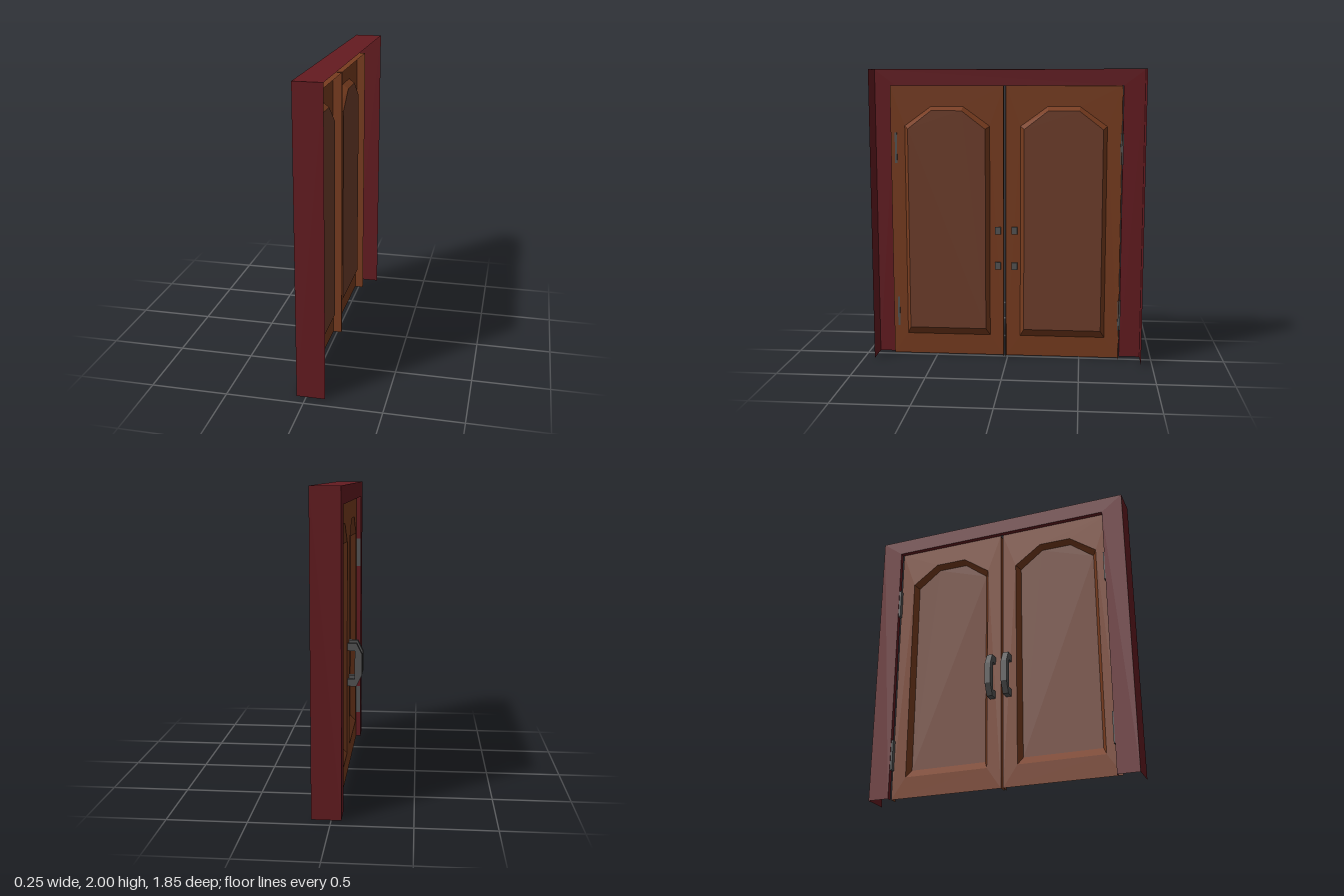
import * as THREE from 'three';

const paint = (color) => new THREE.MeshStandardMaterial({ color, side: THREE.DoubleSide, flatShading: true });
const FRAME = paint(0x641b20), WOOD = paint(0x783c1f), PANEL = paint(0x6f3e2b), METAL = paint(0x555555);

const shapeOf = (pts) => new THREE.Shape(pts.map(([a, b]) => new THREE.Vector2(a, b)));

function add(parent, name, geometry, material) {
  const mesh = new THREE.Mesh(geometry, material);
  mesh.name = name;
  parent.add(mesh);
  return mesh;
}

// Flat sheet drawn in (z, y) and stood at a given x, facing -x
function sheet(shape, x) {
  return new THREE.ShapeGeometry(shape).rotateY(-Math.PI / 2).translate(x, 0, 0);
}

// Box given by its two extreme corners
function box(x0, x1, y0, y1, z0, z1) {
  return new THREE.BoxGeometry(x1 - x0, y1 - y0, z1 - z0)
    .translate((x0 + x1) / 2, (y0 + y1) / 2, (z0 + z1) / 2);
}

// Thin wall facing along z, or along y when level
function wallZ(x0, x1, y0, y1, z) {
  return new THREE.PlaneGeometry(x1 - x0, y1 - y0).translate((x0 + x1) / 2, (y0 + y1) / 2, z);
}
function wallY(x0, x1, z0, z1, y) {
  return new THREE.PlaneGeometry(x1 - x0, z1 - z0).rotateX(-Math.PI / 2)
    .translate((x0 + x1) / 2, y, (z0 + z1) / 2);
}

// Sloping band between two (z, y) outlines at different depths
function bevel(outer, inner, xo, xi) {
  const pos = [];
  outer.forEach((p, i) => {
    const j = (i + 1) % outer.length;
    const a = [xo, p[1], p[0]], b = [xo, outer[j][1], outer[j][0]];
    const c = [xi, inner[j][1], inner[j][0]], d = [xi, inner[i][1], inner[i][0]];
    pos.push(...a, ...b, ...c, ...a, ...c, ...d);
  });
  const g = new THREE.BufferGeometry();
  g.setAttribute('position', new THREE.Float32BufferAttribute(pos, 3));
  g.computeVertexNormals();
  return g;
}

// Arched panel outline with clipped shoulders
const arch = (w, t, bottom, shoulder, top) =>
  [[-w, bottom], [w, bottom], [w, shoulder], [t, top], [-t, top], [-w, shoulder]];

const FACE = -0.028, LIP = 0.033, HALF = 0.3925, TOP = 1.89;

function makeDoor(name, z, lipSides) {
  const door = new THREE.Group();
  door.name = name;
  const outer = arch(0.294, 0.11, 0.145, 1.617, 1.75);
  const inner = arch(0.267, 0.105, 0.2, 1.597, 1.722);
  const face = shapeOf([[-HALF, 0], [HALF, 0], [HALF, TOP], [-HALF, TOP]]);
  face.holes.push(shapeOf(outer));
  add(door, 'doorFace', sheet(face, FACE), WOOD);
  add(door, 'panelBevel', bevel(outer, inner, FACE, 0.012), WOOD);
  add(door, 'panel', sheet(shapeOf(inner), 0.012), PANEL);
  add(door, 'topLip', wallY(FACE, LIP, -HALF, HALF, TOP), WOOD);
  for (const s of lipSides) add(door, 'sideLip', wallZ(FACE, LIP, 0, TOP, s * HALF), WOOD);
  door.position.z = z;
  return door;
}

// Faceted pull handle, a bracket outline in (x, y) given thickness along z
function makeHandle(name, z) {
  const outline = shapeOf([
    [-0.015, 0.62], [-0.09, 0.62], [-0.128, 0.70], [-0.128, 0.845], [-0.09, 0.92], [-0.015, 0.92],
    [-0.015, 0.87], [-0.078, 0.87], [-0.078, 0.67], [-0.015, 0.67],
  ]);
  const g = new THREE.ExtrudeGeometry(outline, { depth: 0.04, bevelEnabled: false }).translate(0, 0, z - 0.02);
  const mesh = new THREE.Mesh(g, METAL);
  mesh.name = name;
  return mesh;
}

export function createModel() {
  const model = new THREE.Group();
  model.name = 'doubleDoor';

  // Frame: open-backed shell with a face, outer walls and a shallow reveal
  const frame = new THREE.Group();
  frame.name = 'frame';
  model.add(frame);
  const W = 0.925, IN = 0.78, X0 = -0.062, X1 = 0.123;
  add(frame, 'frameFace', sheet(shapeOf([
    [-W, 0], [-IN, 0], [-IN, TOP], [IN, TOP], [IN, 0], [W, 0], [W, 2], [-W, 2],
  ]), X0), FRAME);
  add(frame, 'frameTop', wallY(X0, X1, -W, W, 2), FRAME);
  add(frame, 'topReveal', wallY(X0, FACE, -IN, IN, TOP), FRAME);
  for (const s of [1, -1]) {
    add(frame, 'frameSide', wallZ(X0, X1, 0, 2, s * W), FRAME);
    add(frame, 'sideReveal', wallZ(X0, FACE, 0, TOP, s * IN), FRAME);
  }

  // Doors, with lips folded back from their edges
  model.add(makeDoor('frontDoor', 0.42, [-1]));
  model.add(makeDoor('rearDoor', -0.38, [-1, 1]));

  // Handles either side of the gap
  model.add(makeHandle('frontHandle', 0.07));
  model.add(makeHandle('rearHandle', -0.045));

  // Two hinges on each jamb
  for (const y of [0.2, 1.36]) {
    add(model, 'frontHinge', box(-0.058, -0.024, y, y + 0.21, 0.77, 0.785), METAL);
    add(model, 'rearHinge', box(-0.058, -0.02, y, y + 0.21, -0.785, -0.765), METAL);
  }
  return model;
}
